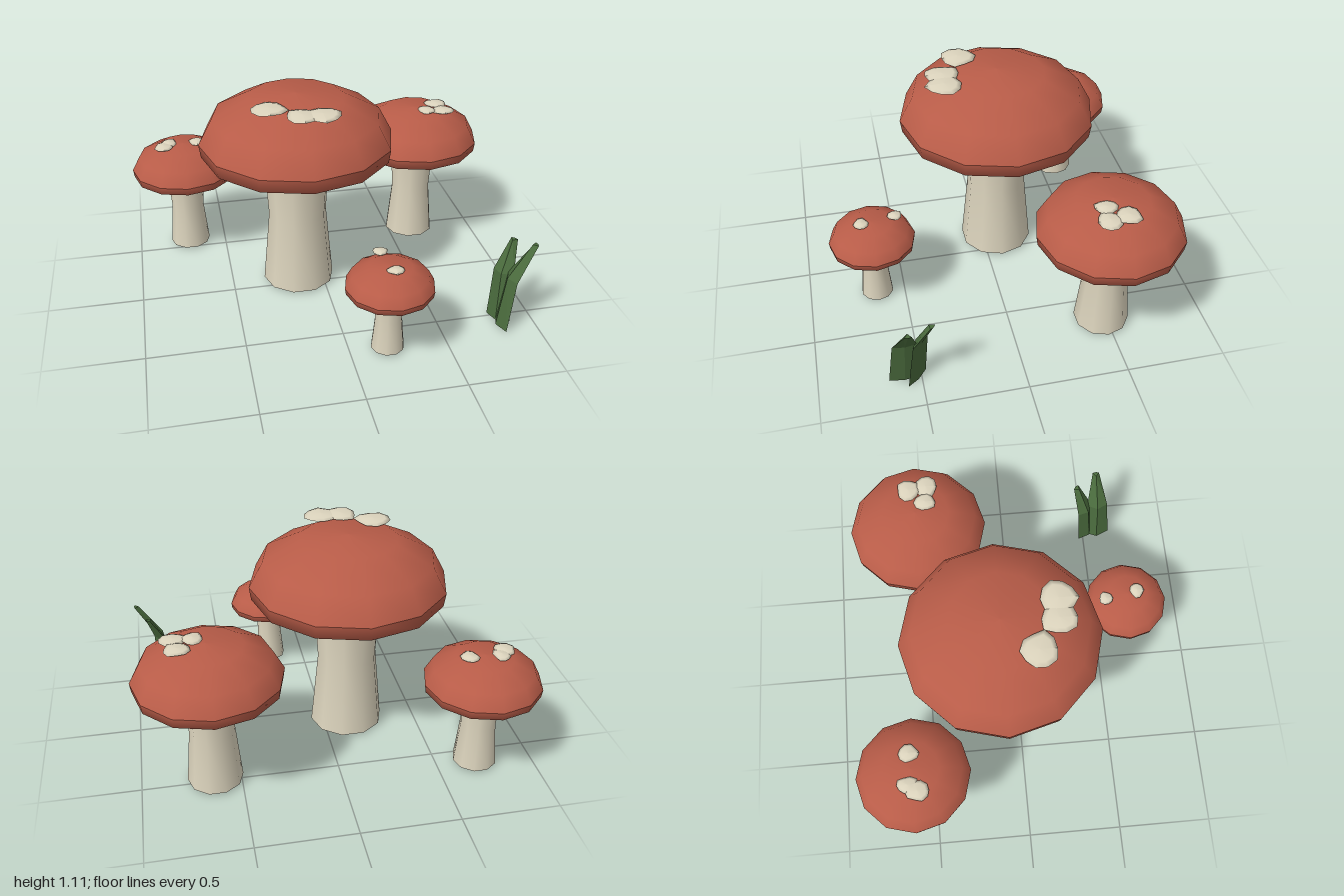
import * as THREE from 'three';

const red = new THREE.MeshStandardMaterial({ color: 0xb85c48 });
red.name = 'cap red';
const cream = new THREE.MeshStandardMaterial({ color: 0xddd5be });
cream.name = 'stem cream';
const green = new THREE.MeshStandardMaterial({ color: 0x4a6b3d, flatShading: true });
green.name = 'grass green';

function add(parent, name, geometry, material) {
  const mesh = new THREE.Mesh(geometry, material);
  mesh.name = name;
  parent.add(mesh);
  return mesh;
}

function lathe(points, sides, start = 0) {
  return new THREE.LatheGeometry(points.map(p => new THREE.Vector2(...p)), sides, start);
}

// Stem with a waist, closed base, faceted dome and rolled rim
function mushroom(x, z, scale) {
  const g = new THREE.Group();
  g.name = 'mushroom';
  add(g, 'stem', lathe([[0.195, 0], [0.157, 0.41], [0.18, 0.79]], 10, Math.PI / 2), cream);
  add(g, 'stemBase', lathe([[0, 0], [0.195, 0]], 10, Math.PI / 2), cream);
  add(g, 'capRim', lathe([[0, 0.775], [0.46, 0.778], [0.5, 0.78], [0.51, 0.85]], 12), red);
  add(g, 'capDome', lathe([[0.51, 0.85], [0.44, 0.98], [0.25, 1.08], [0, 1.1]], 12), red);
  g.scale.setScalar(scale);
  g.position.set(x, 0.01, z);
  return g;
}

// Thin irregular flake lying level with the top of a cap
function flake(x, y, z, rx, rz, seed) {
  const geo = lathe([[0, -0.008], [0.8, -0.007], [1, 0], [0.72, 0.007], [0, 0.01]], 10);
  const p = geo.attributes.position;
  for (let i = 0; i < p.count; i++) {
    const a = Math.atan2(p.getZ(i), p.getX(i));
    const k = 1 + 0.07 * Math.sin(3 * a + seed) + 0.05 * Math.sin(4 * a + seed * 2.3);
    p.setXYZ(i, p.getX(i) * k * rx, p.getY(i), p.getZ(i) * k * rz);
  }
  geo.computeVertexNormals();
  const mesh = new THREE.Mesh(geo, cream);
  mesh.name = 'capSpot';
  mesh.position.set(x, y, z);
  return mesh;
}

// Folded blade through rings [x, y, z, halfWidth], leaning along angle
function blade(rings, angle) {
  const lx = Math.cos(angle), lz = Math.sin(angle);
  const pos = [], index = [];
  for (const [x, y, z, w] of rings) {
    const t = 0.012 + w * 0.12;
    for (const [side, lean] of [[-w, 0.01], [0, -t], [w, 0.01], [0, t]]) {
      pos.push(x - lz * side + lx * lean, y, z + lx * side + lz * lean);
    }
  }
  for (let r = 0; r < rings.length - 1; r++) {
    for (let i = 0; i < 4; i++) {
      const a = r * 4 + i, b = r * 4 + (i + 1) % 4;
      index.push(a, a + 4, b, b, a + 4, b + 4);
    }
  }
  const e = (rings.length - 1) * 4;
  index.push(0, 1, 3, 1, 2, 3, e, e + 3, e + 1, e + 1, e + 3, e + 2);
  const geo = new THREE.BufferGeometry();
  geo.setAttribute('position', new THREE.Float32BufferAttribute(pos, 3));
  geo.setIndex(index);
  const flat = geo.toNonIndexed();
  flat.computeVertexNormals();
  return flat;
}

export function createModel() {
  const model = new THREE.Group();
  model.name = 'mushroomCluster';

  // Four mushrooms of one shape at different sizes
  const spots = [
    [-0.13, -0.08, 1], [-0.705, -0.58, 0.578],
    [0.63, -0.475, 0.72], [0.195, 0.645, 0.436],
  ];
  for (const s of spots) model.add(mushroom(...s));

  // Pale flakes on the caps
  const flakes = [
    [-0.295, 1.103, 0.092, 0.092, 0.09], [-0.145, 1.1, 0.2, 0.082, 0.09],
    [-0.045, 1.1, 0.205, 0.095, 0.09],
    [-0.782, 0.645, -0.598, 0.042, 0.055], [-0.815, 0.645, -0.55, 0.052, 0.06],
    [-0.625, 0.646, -0.587, 0.046, 0.052],
    [0.765, 0.8, -0.505, 0.064, 0.06], [0.78, 0.796, -0.41, 0.068, 0.06],
    [0.688, 0.8, -0.42, 0.05, 0.058],
    [0.175, 0.493, 0.52, 0.038, 0.038], [0.207, 0.493, 0.695, 0.044, 0.038],
  ];
  flakes.forEach((f, i) => model.add(flake(...f, i * 1.7)));

  // Tuft of two bent grass blades
  const tuft = new THREE.Group();
  tuft.name = 'grassTuft';
  green.side = THREE.DoubleSide;
  add(tuft, 'grassBlade', blade([
    [0.815, 0.005, 0.585, 0.075], [0.855, 0.28, 0.575, 0.06], [0.97, 0.46, 0.565, 0.018],
  ], 0), green);
  add(tuft, 'grassBlade', blade([
    [0.825, 0, 0.53, 0.066], [0.84, 0.27, 0.505, 0.056], [0.905, 0.43, 0.45, 0.018],
  ], -0.75), green);
  model.add(tuft);

  return model;
}
